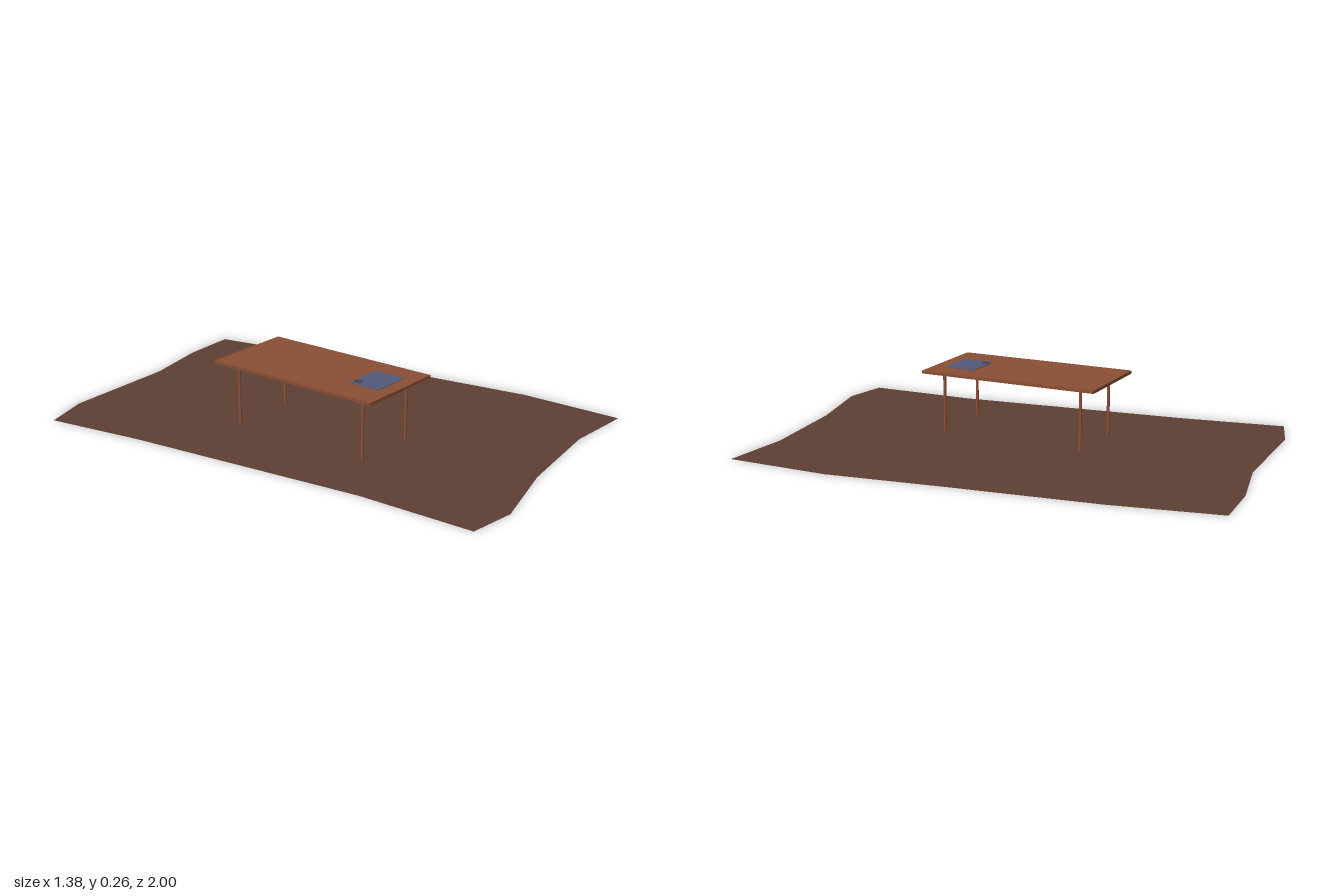
import * as THREE from 'three';

const material = (name, color, side = THREE.FrontSide) => {
  const m = new THREE.MeshStandardMaterial({ color, side });
  m.name = name;
  return m;
};

export function createModel() {
  const group = new THREE.Group();
  const wood = material('warm wood', 0x8b4f35);
  const earth = material('dark brown rug', 0x5f4034, THREE.DoubleSide);
  const blue = material('slate blue', 0x53597a);
  const grey = material('dark grey', 0x474448);

  const add = (name, geometry, mat, x, y, z) => {
    const mesh = new THREE.Mesh(geometry, mat);
    mesh.name = name;
    mesh.position.set(x, y, z);
    group.add(mesh);
    return mesh;
  };

  // Flat ground sheet with an irregular outline, given as x, z
  const outline = [
    [-0.505, 0.97], [-0.32, 0.995], [0, 0.91], [0.4, 0.855], [0.685, 0.87],
    [0.685, 0.45], [0.62, 0], [0.545, -0.59], [0.465, -1], [0.24, -0.985],
    [-0.03, -0.925], [-0.505, -0.905], [-0.69, -0.845], [-0.625, -0.45],
    [-0.57, 0.03], [-0.515, 0.51],
  ];
  const shape = new THREE.Shape(outline.map(([x, z]) => new THREE.Vector2(x, -z)));
  add('ground', new THREE.ShapeGeometry(shape).rotateX(-Math.PI / 2), earth, 0, 0, 0);

  // Table top
  add('tableTop', new THREE.BoxGeometry(0.37, 0.012, 0.738), wood, -0.132, 0.25, 0.041);

  // Four slim legs
  const legGeometry = new THREE.CylinderGeometry(0.006, 0.006, 0.246, 12);
  for (const x of [-0.266, 0.002])
    for (const z of [-0.252, 0.337]) add('leg', legGeometry, wood, x, 0.123, z);

  // Thin sheet on the table with a small dark spot at its corner
  add('sheet', new THREE.BoxGeometry(0.163, 0.003, 0.13), blue, -0.117, 0.2565, 0.291);
  add('spot', new THREE.CylinderGeometry(0.016, 0.016, 0.002, 12), grey, -0.171, 0.2585, 0.246);

  return group;
}
